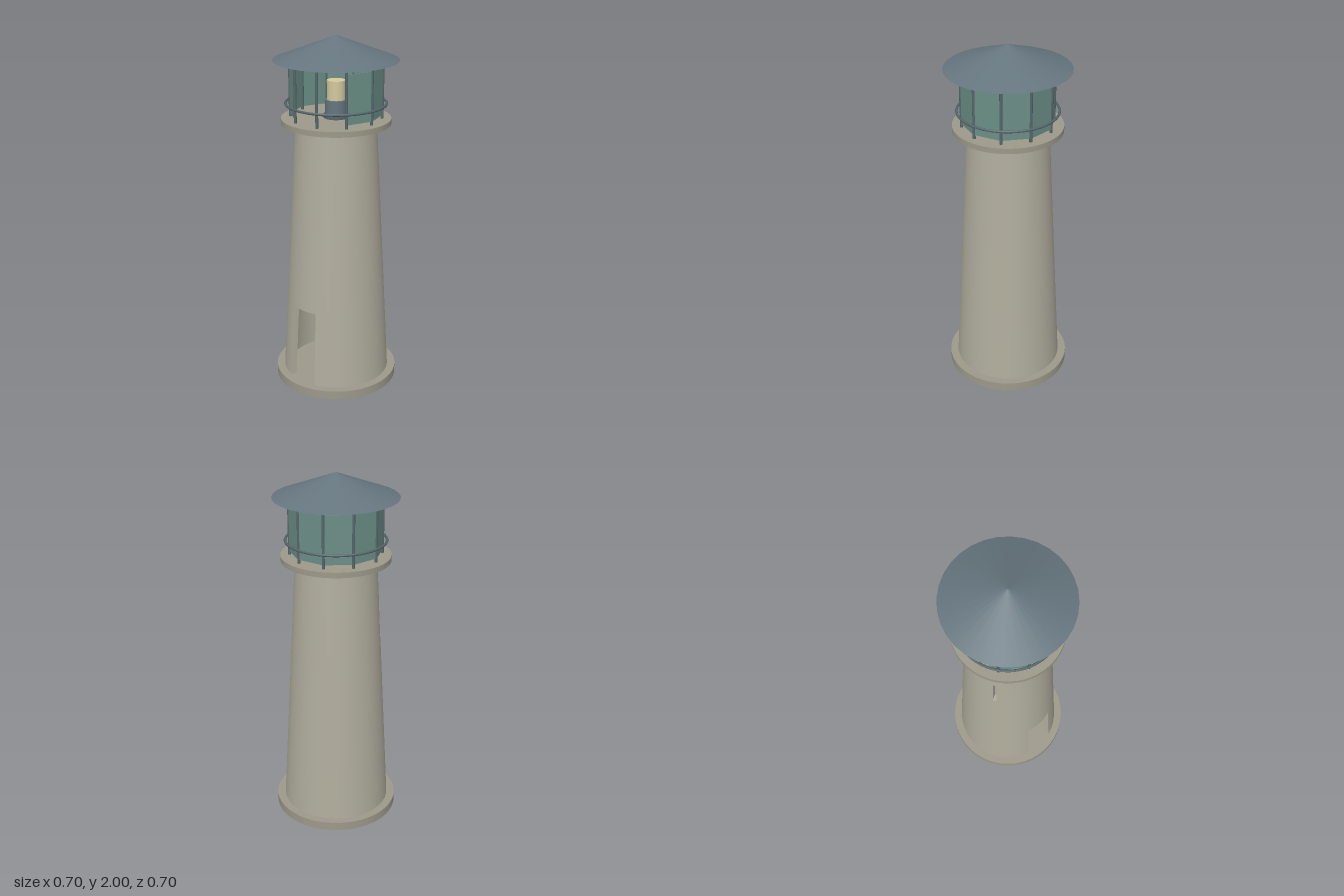
import * as THREE from 'three';

const STONE = 0xb0ad9d, TRIM = 0x9d998a, GLASS = 0x6b8f86, METAL = 0x65757e, DARK = 0x56666c, LIGHT = 0xd3c99c;
const STEP = Math.PI / 36;

function mesh(name, geometry, color, side = THREE.FrontSide) {
  const m = new THREE.Mesh(geometry, new THREE.MeshStandardMaterial({ color, side }));
  m.name = name;
  return m;
}

// Upright cylinder or cone standing between two heights
function drum(name, rTop, rBottom, y0, y1, color, sides = 72) {
  const m = mesh(name, new THREE.CylinderGeometry(rTop, rBottom, y1 - y0, sides), color);
  m.position.y = (y0 + y1) / 2;
  return m;
}

// Hollow tapered wall made of cells; door and window cells are left out and lined
function towerWall() {
  const rows = [0.05, 0.49, 1.05, 1.27, 1.525], thick = 0.035, cols = 72;
  const isHole = (k, j) => (j === 0 && Math.abs(k) <= 3) || (j === 2 && k === -12);
  const positions = [], normals = [];
  const point = (k, j, depth) => {
    const y = rows[j], a = (k - 0.5) * STEP;
    const r = 0.305 - 0.082 * (y - 0.05) / 1.475 - depth;
    return new THREE.Vector3(Math.sin(a) * r, y, Math.cos(a) * r);
  };
  // curve: 1 = smooth outward, -1 = smooth inward, 0 = flat
  const quad = (corners, curve) => {
    const flat = new THREE.Vector3().subVectors(corners[1], corners[0])
      .cross(new THREE.Vector3().subVectors(corners[2], corners[0])).normalize();
    for (const i of [0, 1, 2, 0, 2, 3]) {
      const p = corners[i];
      const n = curve ? new THREE.Vector3(p.x, 0, p.z).normalize().setY(0.056).multiplyScalar(curve).normalize() : flat;
      positions.push(p.x, p.y, p.z);
      normals.push(n.x, n.y, n.z);
    }
  };
  for (let j = 0; j < rows.length - 1; j++) {
    for (let k = -cols / 2; k < cols / 2; k++) {
      const face = d => [point(k, j, d), point(k + 1, j, d), point(k + 1, j + 1, d), point(k, j + 1, d)];
      const o = face(0), i = face(thick);
      if (!isHole(k, j)) {
        quad(o, 1);
        quad(i.reverse(), -1);
        continue;
      }
      // Reveals around the opening
      if (!isHole(k + 1, j)) quad([i[1], o[1], o[2], i[2]], 0);
      if (!isHole(k - 1, j)) quad([o[0], i[0], i[3], o[3]], 0);
      quad([i[3], i[2], o[2], o[3]], 0);
      if (j > 0) quad([o[0], o[1], i[1], i[0]], 0);
    }
  }
  const g = new THREE.BufferGeometry();
  g.setAttribute('position', new THREE.Float32BufferAttribute(positions, 3));
  g.setAttribute('normal', new THREE.Float32BufferAttribute(normals, 3));
  return g;
}

export function createModel() {
  const model = new THREE.Group();
  model.name = 'lighthouse';

  // Masonry
  model.add(
    drum('base', 0.35, 0.35, 0, 0.05, TRIM),
    mesh('towerWall', towerWall(), STONE),
    drum('galleryFloor', 0.3, 0.3, 1.525, 1.555, TRIM),
  );

  // Lantern room: ten posts, eight panes, two bays open at the front
  const lantern = new THREE.Group();
  lantern.name = 'lanternRoom';
  const postR = 0.25, bay = Math.PI / 5;
  for (let i = 0; i < 10; i++) {
    const a = (i + 0.5) * bay;
    const post = drum('post', 0.008, 0.008, 1.555, 1.872, DARK, 10);
    post.position.x = Math.sin(a) * postR;
    post.position.z = Math.cos(a) * postR;
    lantern.add(post);
    if (i < 2) continue;
    const b = i * bay, apothem = postR * Math.cos(bay / 2);
    const pane = mesh('pane', new THREE.BoxGeometry(0.146, 0.265, 0.006), GLASS);
    pane.position.set(Math.sin(b) * apothem, 1.7075, Math.cos(b) * apothem);
    pane.rotation.y = b;
    lantern.add(pane);
  }
  model.add(lantern);

  // Gallery rail
  const rail = mesh('rail', new THREE.TorusGeometry(0.273, 0.007, 8, 72), DARK);
  rail.rotation.x = Math.PI / 2;
  rail.position.y = 1.636;
  model.add(rail);

  // Lamp
  const lamp = new THREE.Group();
  lamp.name = 'lamp';
  lamp.add(
    drum('lampPlinth', 0.068, 0.068, 1.555, 1.575, DARK, 32),
    drum('lampPedestal', 0.06, 0.06, 1.575, 1.655, METAL, 32),
    drum('lampLight', 0.05, 0.05, 1.655, 1.76, LIGHT, 32),
  );
  model.add(lamp);

  // Roof
  model.add(drum('roof', 0, 0.34, 1.87, 2, METAL, 32));
  return model;
}
